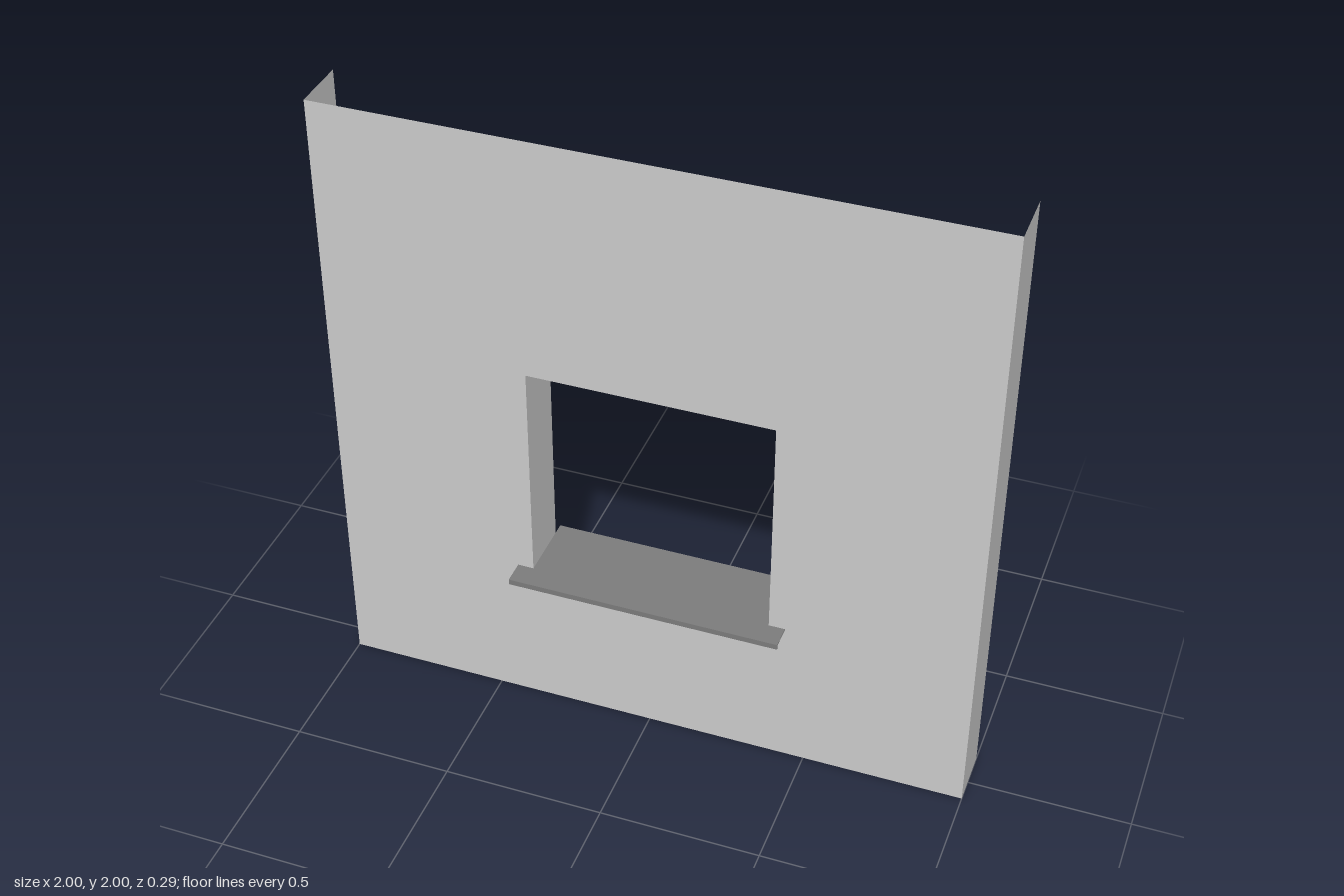
import * as THREE from 'three';

const FRONT = 0.072, BACK = -0.108;      // depth range of the sheet wall
const HALF = 0.375, LOW = 0.5, HIGH = 1.228; // window opening
const SILL_FRONT = 0.146, SILL_BACK = -0.146, SILL_HALF = 0.425;

const grey = new THREE.MeshStandardMaterial({ color: 0xcccccc, side: THREE.DoubleSide, flatShading: true });
const dark = new THREE.MeshStandardMaterial({ color: 0x7c7c7c, side: THREE.DoubleSide, flatShading: true });

function add(group, name, geometry, material) {
  const mesh = new THREE.Mesh(geometry, material);
  mesh.name = name;
  group.add(mesh);
  return mesh;
}

export function createModel() {
  const model = new THREE.Group();
  model.name = 'wallPanelWithWindow';
  const depth = FRONT - BACK, midZ = (FRONT + BACK) / 2;

  // Thin front sheet with a window opening
  const face = new THREE.Shape([[-1, 0], [1, 0], [1, 2], [-1, 2]].map(p => new THREE.Vector2(...p)));
  face.holes.push(new THREE.Path([[-HALF, LOW], [-HALF, HIGH], [HALF, HIGH], [HALF, LOW]].map(p => new THREE.Vector2(...p))));
  add(model, 'frontSheet', new THREE.ShapeGeometry(face).translate(0, 0, FRONT), grey);

  // Side returns and window jambs, mirrored left and right
  for (const side of [1, -1]) {
    const label = side > 0 ? 'left' : 'right';
    add(model, label + 'Return', new THREE.PlaneGeometry(depth, 2)
      .rotateY(side * Math.PI / 2).translate(side, 1, midZ), grey);
    add(model, label + 'Jamb', new THREE.PlaneGeometry(depth, HIGH - LOW)
      .rotateY(side * Math.PI / 2).translate(side * HALF, (LOW + HIGH) / 2, midZ), grey);
  }

  // Top and bottom of the window reveal, facing outwards from the opening
  add(model, 'revealTop', new THREE.PlaneGeometry(2 * HALF, depth)
    .rotateX(-Math.PI / 2).translate(0, HIGH, midZ), grey);
  add(model, 'revealBottom', new THREE.PlaneGeometry(2 * HALF, depth)
    .rotateX(Math.PI / 2).translate(0, LOW, midZ), grey);

  // Sill: narrow plate through the opening, wider nose and a down-turned lip
  const sill = new THREE.Group();
  sill.name = 'sill';
  model.add(sill);
  const t = 0.004, top = LOW + 0.006;
  const plan = [
    [-HALF, SILL_BACK], [HALF, SILL_BACK], [HALF, FRONT], [SILL_HALF, FRONT],
    [SILL_HALF, SILL_FRONT], [-SILL_HALF, SILL_FRONT], [-SILL_HALF, FRONT], [-HALF, FRONT],
  ].map(p => new THREE.Vector2(...p));
  add(sill, 'sillPlate', new THREE.ExtrudeGeometry(new THREE.Shape(plan), { depth: t, bevelEnabled: false })
    .rotateX(Math.PI / 2).translate(0, top, 0), dark);
  add(sill, 'sillLip', new THREE.BoxGeometry(2 * SILL_HALF, 0.014, t)
    .translate(0, top - t - 0.007, SILL_FRONT - t / 2), dark);

  return model;
}
